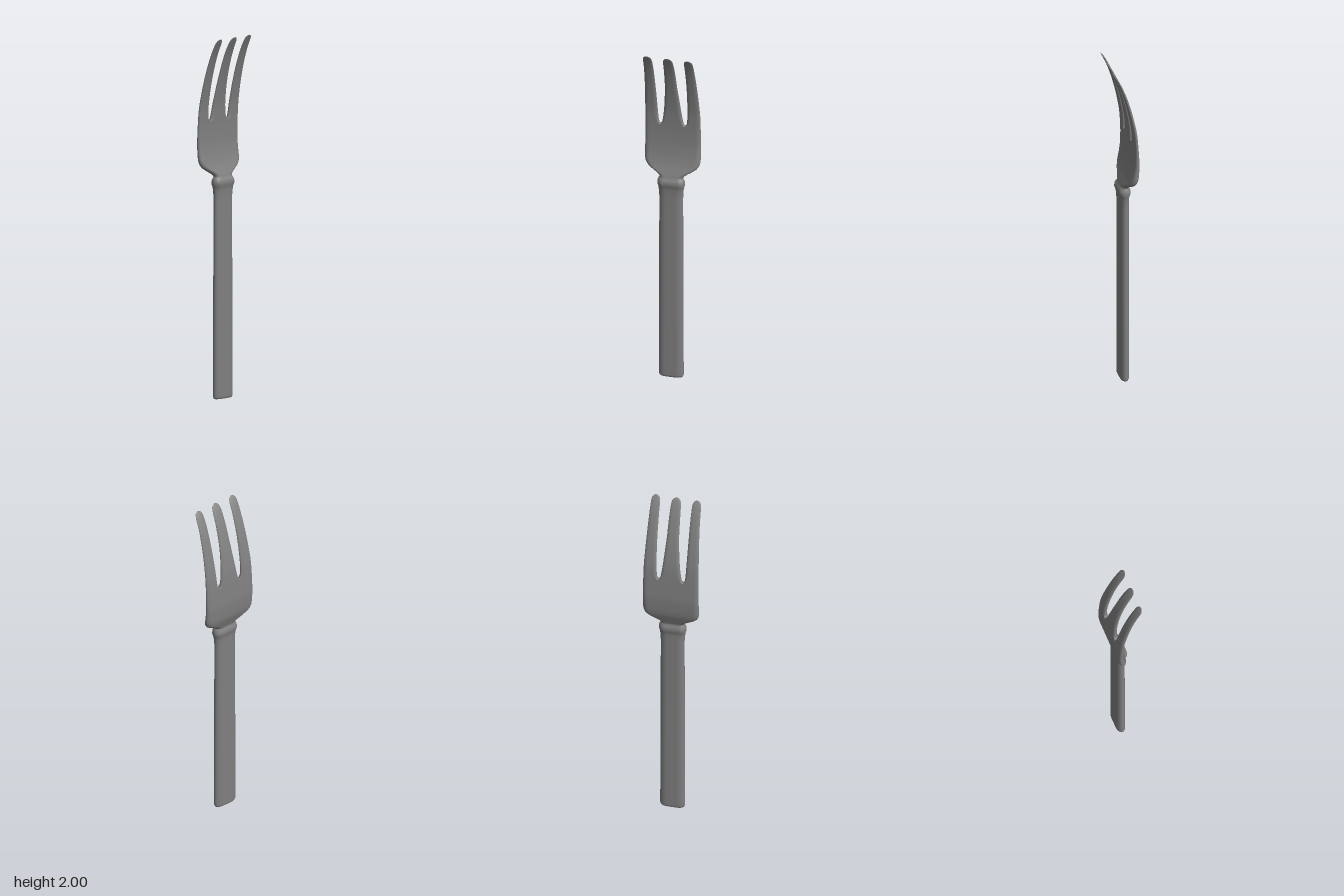
import * as THREE from 'three';

// Smooth, overshoot-free interpolation of rows [y, a, b, ...] at height y.
function sample(rows, y) {
  let i = 0;
  while (i < rows.length - 2 && y > rows[i + 1][0]) i++;
  const p = rows[i], q = rows[i + 1], h = q[0] - p[0], s = (y - p[0]) / h;
  const slope = (k, c) => (k < 0 || k > rows.length - 2) ? null
    : (rows[k + 1][c] - rows[k][c]) / (rows[k + 1][0] - rows[k][0]);
  const tangent = (k, c) => {
    const a = slope(k - 1, c), b = slope(k, c);
    if (a === null) return b;
    if (b === null) return a;
    return a * b <= 0 ? 0 : 2 * a * b / (a + b);
  };
  return p.slice(1).map((v, j) => {
    const c = j + 1, s2 = s * s, s3 = s2 * s;
    return (2 * s3 - 3 * s2 + 1) * v + (s3 - 2 * s2 + s) * h * tangent(i, c)
      + (3 * s2 - 2 * s3) * q[c] + (s3 - s2) * h * tangent(i + 1, c);
  });
}

// Side curve of the whole fork: height, centre z, half thickness
const DEPTH = [
  [0, -0.018, 0.021], [0.012, -0.018, 0.025], [1.1, -0.018, 0.025], [1.165, -0.017, 0.027],
  [1.185, -0.017, 0.033], [1.205, -0.017, 0.032], [1.225, -0.019, 0.023], [1.26, -0.031, 0.022],
  [1.3, -0.045, 0.021], [1.35, -0.054, 0.018], [1.42, -0.059, 0.015], [1.5, -0.057, 0.012],
  [1.6, -0.050, 0.011], [1.7, -0.033, 0.010], [1.8, -0.009, 0.009], [1.9, 0.023, 0.007],
  [1.97, 0.054, 0.005], [2, 0.071, 0.002],
];

const ARC = 16; // steps round each side edge

// Loft of flat sections with rounded sides;
// rows are [y, left x, right x, left rounding, right rounding].
function loft(name, rows, material) {
  const heights = [];
  for (let i = 0; i < rows.length - 1; i++) {
    const span = rows[i + 1][0] - rows[i][0];
    const steps = Math.max(2, Math.min(14, Math.ceil(span / 0.015)));
    for (let k = 0; k < steps; k++) heights.push(rows[i][0] + span * k / steps);
  }
  heights.push(rows[rows.length - 1][0]);

  const pos = [], index = [], count = 2 * (ARC + 1);
  const ring = (y) => {
    const [x0, x1, r0, r1] = sample(rows, y), [zc, t] = sample(DEPTH, y);
    const fit = Math.min(1, 0.96 * (x1 - x0) / (r0 + r1));
    for (let side = 0; side < 2; side++) {
      const r = (side ? r0 : r1) * fit, xc = side ? x0 + r : x1 - r;
      for (let k = 0; k <= ARC; k++) {
        const a = Math.PI * (side - 0.5 + k / ARC);
        pos.push(xc + r * Math.cos(a), y, zc + t * Math.sin(a));
      }
    }
  };
  heights.forEach(ring);
  for (let i = 0; i < heights.length - 1; i++) {
    for (let j = 0; j < count; j++) {
      const a = i * count + j, b = i * count + (j + 1) % count;
      index.push(a, a + count, b, b, a + count, b + count);
    }
  }
  // End caps with their own rim so the edge stays crisp
  for (const top of [false, true]) {
    const y = top ? heights[heights.length - 1] : heights[0];
    const start = pos.length / 3, c = start + count;
    ring(y);
    const [x0, x1] = sample(rows, y), [zc] = sample(DEPTH, y);
    pos.push((x0 + x1) / 2, y, zc);
    for (let j = 0; j < count; j++) {
      const a = start + j, b = start + (j + 1) % count;
      if (top) index.push(c, b, a); else index.push(c, a, b);
    }
  }
  const geometry = new THREE.BufferGeometry();
  geometry.setAttribute('position', new THREE.Float32BufferAttribute(pos, 3));
  geometry.setIndex(index);
  geometry.computeVertexNormals();
  const mesh = new THREE.Mesh(geometry, material);
  mesh.name = name;
  return mesh;
}

const symmetric = (rows) => rows.map(([y, w, r]) => [y, -w, w, r, r]);
const mirrored = (rows) => rows.map(([y, a, b, ra, rb]) => [y, -b, -a, rb, ra]);

export function createModel() {
  const group = new THREE.Group();
  group.name = 'fork';
  const metal = new THREE.MeshStandardMaterial({ color: 0x808080 });

  // Flat oval handle, ending in the raised collar
  group.add(loft('handle', symmetric([
    [0, 0.064, 0.04], [0.012, 0.07, 0.042], [0.5, 0.069, 0.042], [1.1, 0.067, 0.042],
    [1.16, 0.071, 0.04], [1.185, 0.077, 0.035], [1.205, 0.076, 0.035], [1.225, 0.066, 0.035],
  ]), metal));

  // Neck flaring into the broad shoulders
  group.add(loft('head', symmetric([
    [1.21, 0.07, 0.035], [1.225, 0.066, 0.035], [1.24, 0.076, 0.035], [1.26, 0.108, 0.035],
    [1.28, 0.137, 0.035], [1.3, 0.151, 0.032], [1.33, 0.157, 0.03], [1.42, 0.157, 0.027],
    [1.53, 0.156, 0.025],
  ]), metal));

  // Middle tine, tapering from a wide root
  group.add(loft('middleTine', symmetric([
    [1.53, 0.068, 0.004], [1.536, 0.063, 0.008], [1.55, 0.059, 0.014], [1.6, 0.051, 0.02],
    [1.7, 0.041, 0.022], [1.8, 0.034, 0.022], [1.9, 0.031, 0.022], [1.965, 0.028, 0.022],
    [1.985, 0.024, 0.02], [1.995, 0.016, 0.014], [2, 0.008, 0.007],
  ]), metal));

  // Outer tines, mirrored
  const outer = [
    [1.53, 0.071, 0.156, 0.004, 0.025], [1.536, 0.075, 0.156, 0.008, 0.025],
    [1.55, 0.079, 0.156, 0.014, 0.025], [1.6, 0.083, 0.155, 0.02, 0.024],
    [1.7, 0.086, 0.151, 0.022, 0.022], [1.8, 0.088, 0.147, 0.022, 0.022],
    [1.9, 0.089, 0.143, 0.022, 0.022], [1.965, 0.09, 0.141, 0.022, 0.022],
    [1.985, 0.093, 0.138, 0.02, 0.02], [1.995, 0.1, 0.131, 0.014, 0.014],
    [2, 0.108, 0.123, 0.007, 0.007],
  ];
  group.add(loft('leftTine', outer, metal));
  group.add(loft('rightTine', mirrored(outer), metal));
  return group;
}
